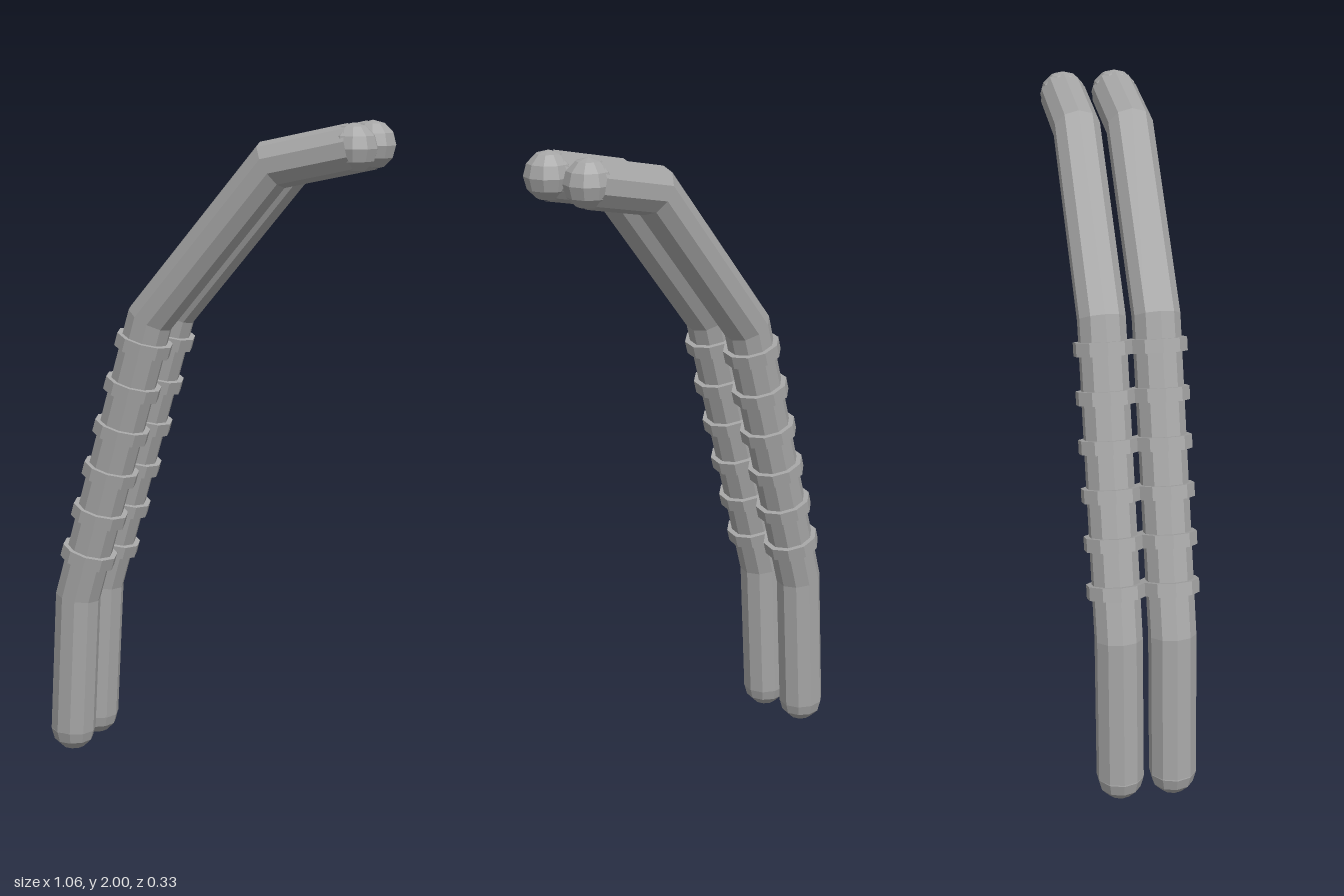
import * as THREE from 'three';

const SIDES = 10;
const R = 0.071;
const P = [[-0.461, 0.071], [-0.436, 0.515], [-0.176, 1.41], [0.214, 1.875], [0.459, 1.929]]
  .map(([x, y]) => new THREE.Vector2(x, y));

// Ten-sided rod along the bent centre line, with mitred corners.
function rodGeometry() {
  const dirs = P.slice(1).map((p, i) => p.clone().sub(P[i]).normalize());
  const pos = [], index = [];
  P.forEach((p, i) => {
    const a = dirs[Math.max(i - 1, 0)], b = dirs[Math.min(i, dirs.length - 1)];
    const t = a.clone().add(b).normalize();
    const mitre = R / t.dot(a);
    for (let j = 0; j < SIDES; j++) {
      const ang = (j / SIDES) * Math.PI * 2;
      const n = Math.cos(ang) * mitre;
      pos.push(p.x - t.y * n, p.y + t.x * n, Math.sin(ang) * R);
    }
  });
  for (let i = 0; i < P.length - 1; i++) {
    for (let j = 0; j < SIDES; j++) {
      const k = (j + 1) % SIDES;
      const a = i * SIDES + j, b = i * SIDES + k, c = b + SIDES, d = a + SIDES;
      index.push(a, b, c, a, c, d);
    }
  }
  const g = new THREE.BufferGeometry();
  g.setAttribute('position', new THREE.Float32BufferAttribute(pos, 3));
  g.setIndex(index);
  g.computeVertexNormals();
  return g;
}

export function createModel() {
  const model = new THREE.Group();
  model.name = 'bentRodPair';
  const grey = new THREE.MeshStandardMaterial({ color: 0xa6a6a6, flatShading: true });
  grey.name = 'grey';

  const rodGeo = rodGeometry();
  const endGeo = new THREE.SphereGeometry(R, SIDES, 6);
  // Turned so a corner faces along the bend, like the rod
  const ringGeo = new THREE.CylinderGeometry(0.087, 0.087, 0.04, SIDES).rotateY(Math.PI / 2);
  const gripDir = P[2].clone().sub(P[1]);
  const tilt = Math.atan2(gripDir.y, gripDir.x) - Math.PI / 2;

  for (const side of [1, -1]) {
    const rod = new THREE.Group();
    rod.name = side > 0 ? 'frontRod' : 'backRod';
    rod.position.z = side * 0.08;
    const add = (geo, name, x = 0, y = 0) => {
      const mesh = new THREE.Mesh(geo, grey);
      mesh.name = name;
      mesh.position.set(x, y, 0);
      rod.add(mesh);
      return mesh;
    };

    add(rodGeo, 'bentRod');
    // Rounded ends
    add(endGeo, 'lowerEnd', P[0].x, P[0].y);
    add(endGeo, 'upperEnd', P[4].x, P[4].y);
    // Six collars along the middle stretch
    for (let i = 0; i < 6; i++) {
      const y = 0.652 + i * 0.1354;
      const c = P[1].clone().lerp(P[2], (y - P[1].y) / gripDir.y);
      add(ringGeo, 'collar' + (i + 1), c.x, c.y).rotation.z = tilt;
    }
    model.add(rod);
  }
  return model;
}
